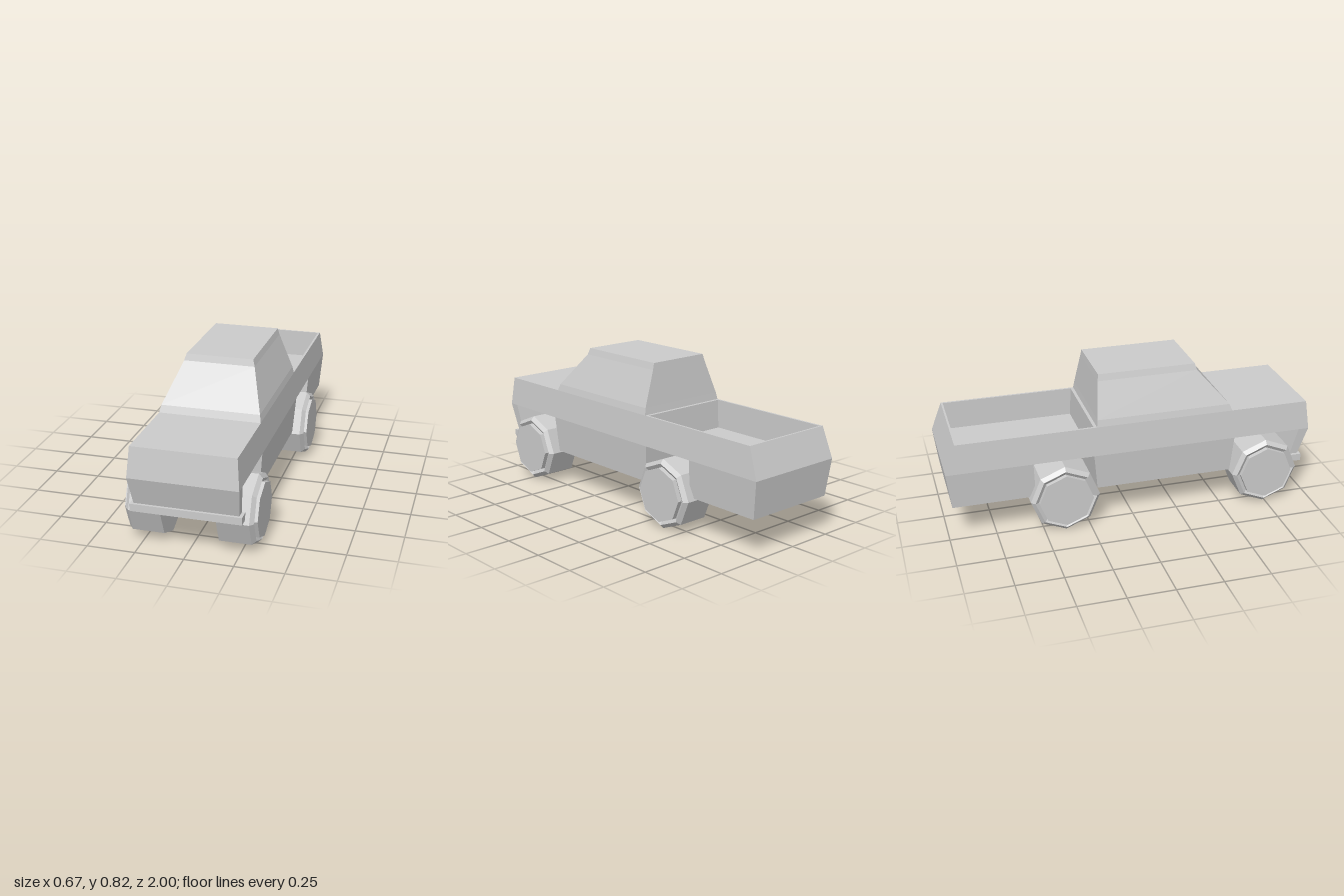
import * as THREE from 'three';

const material = new THREE.MeshStandardMaterial({ color: 0xcccccc, flatShading: true });

// Stack of rectangles joined into a closed solid; level = [y, halfWidth, zFront, zBack]
function loft(name, levels) {
  const rings = levels.map(([y, w, f, b]) => [[w, y, f], [w, y, b], [-w, y, b], [-w, y, f]]);
  const pos = [];
  const quad = (a, b, c, d) => pos.push(...a, ...b, ...c, ...a, ...c, ...d);
  for (let i = 0; i < rings.length - 1; i++) {
    for (let k = 0; k < 4; k++) {
      const n = (k + 1) % 4;
      quad(rings[i][k], rings[i][n], rings[i + 1][n], rings[i + 1][k]);
    }
  }
  quad(...[...rings[0]].reverse());
  quad(...rings[rings.length - 1]);
  const geometry = new THREE.BufferGeometry();
  geometry.setAttribute('position', new THREE.Float32BufferAttribute(pos, 3));
  geometry.computeVertexNormals();
  const mesh = new THREE.Mesh(geometry, material);
  mesh.name = name;
  return mesh;
}

// Eight-sided tyre with bevelled shoulder, recessed ring and raised hub
const wheelProfile = [
  [0, 0.14], [0.187, 0.14], [0.187, 0.305], [0.166, 0.325],
  [0.146, 0.312], [0.146, 0.337], [0, 0.337],
].map(([r, d]) => new THREE.Vector2(r, d));

function wheel(name, side, z) {
  const geometry = new THREE.LatheGeometry(wheelProfile, 8);
  geometry.rotateZ(-side * Math.PI / 2);
  const mesh = new THREE.Mesh(geometry, material);
  mesh.name = name;
  mesh.position.set(0, 0.189, z);
  return mesh;
}

export function createModel() {
  const truck = new THREE.Group();
  truck.name = 'pickupTruck';

  // Upper body: hood section, and a bed whose walls fold inward to the floor
  truck.add(
    loft('hoodAndDoors', [[0.4, 0.278, 1, -0.2], [0.56, 0.265, 0.98, -0.2]]),
    loft('cargoBed', [
      [0.4, 0.278, -0.2, -1], [0.56, 0.265, -0.2, -0.942],
      [0.56, 0.253, -0.217, -0.932], [0.405, 0.25, -0.225, -0.932],
    ]),
  );

  // Cab with raked windscreen
  truck.add(loft('cab', [
    [0.56, 0.265, 0.55, -0.2], [0.597, 0.257, 0.535, -0.195],
    [0.785, 0.186, 0.37, -0.174], [0.82, 0.176, 0.36, -0.17],
  ]));

  // Lower body, separated by the wheel arches
  truck.add(
    loft('sills', [[0.2, 0.262, 0.55, -0.2], [0.4, 0.278, 0.565, -0.22]]),
    loft('rearLowerBody', [[0.2, 0.262, -0.535, -0.975], [0.4, 0.278, -0.545, -1]]),
    loft('frontPanel', [[0.245, 0.265, 0.95, 0.905], [0.4, 0.278, 1, 0.943]]),
    loft('frontBumper', [[0.208, 0.282, 0.965, 0.905], [0.247, 0.282, 0.965, 0.905]]),
  );

  // Wheels
  for (const [sideName, side] of [['Left', 1], ['Right', -1]]) {
    truck.add(wheel(`front${sideName}Wheel`, side, 0.738));
    truck.add(wheel(`rear${sideName}Wheel`, side, -0.385));
  }
  return truck;
}
